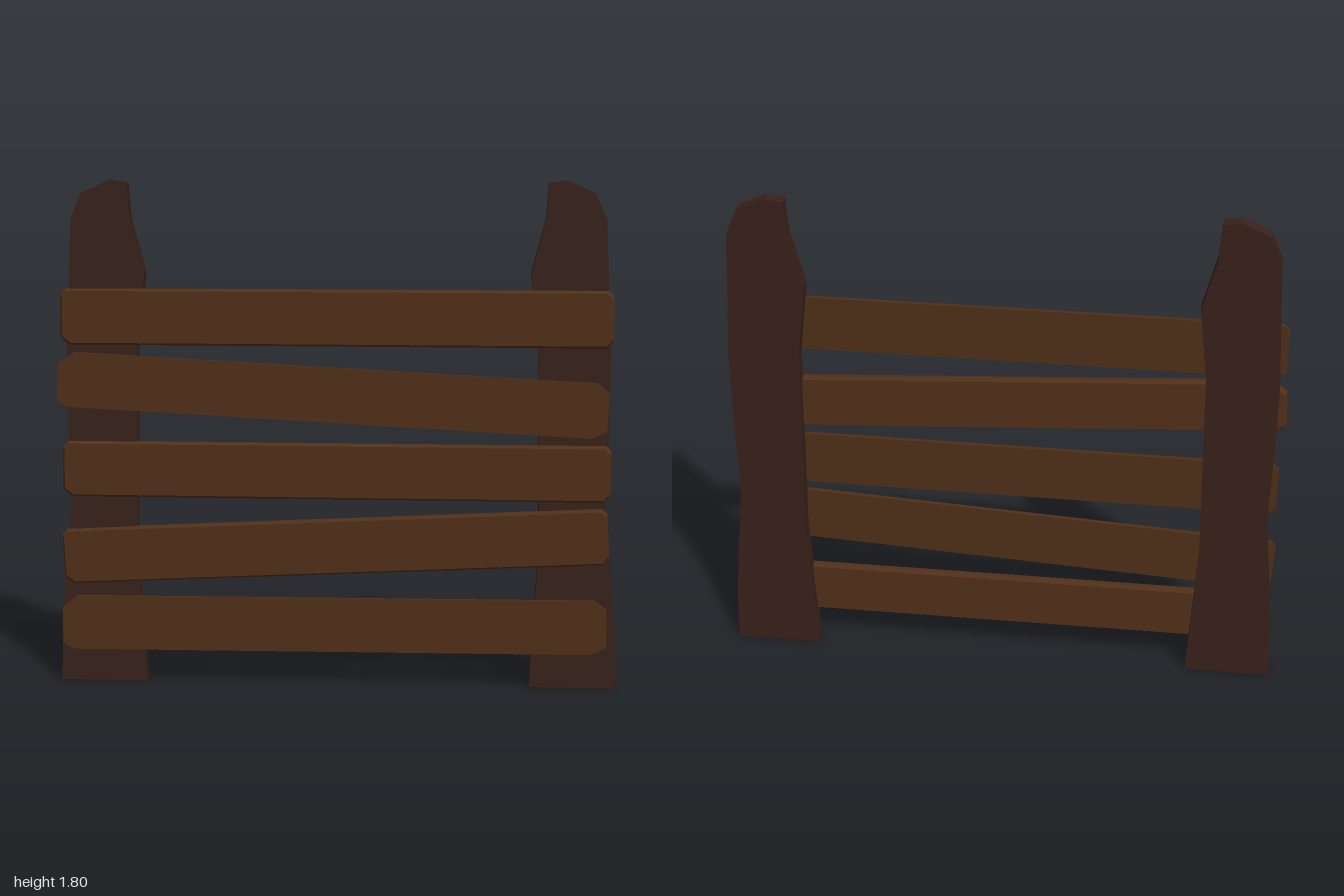
import * as THREE from 'three';

const POST_COLOR = 0x38211a;
const PLANK_COLOR = 0x4f2f18;

// Outline of one post (right-hand side, counter-clockwise)
const POST = [
  [0.69, 0], [1, 0], [0.995, 0.2], [0.975, 0.43], [0.952, 0.66], [0.96, 0.9], [0.963, 1.2],
  [0.95, 1.45], [0.94, 1.67], [0.9, 1.76], [0.8, 1.805], [0.74, 1.795], [0.73, 1.67],
  [0.68, 1.48], [0.71, 1.22], [0.715, 0.85], [0.72, 0.5],
];

// Plank outlines about their own centres: tight corners and wide corners
const TIGHT = [
  [-0.95, -0.1], [0.955, -0.1], [0.973, -0.075], [0.973, 0.08], [0.955, 0.1],
  [-0.96, 0.1], [-0.98, 0.08], [-0.98, -0.075],
];
const WIDE = [
  [-0.955, -0.098], [0.91, -0.098], [0.963, -0.07], [0.963, 0.065], [0.92, 0.098],
  [-0.935, 0.098], [-0.99, 0.055], [-0.99, -0.075],
];

// Flat-faced slab centred on z = 0; the front or back rim is drawn in by `bevel`
function slab(points, depth, bevel = 0, bevelSide = 1) {
  const shape = new THREE.Shape(points.map(([x, y]) => new THREE.Vector2(x, y)));
  const geo = new THREE.ExtrudeGeometry(shape, { depth, steps: 2, bevelEnabled: false });
  geo.translate(0, 0, -depth / 2);
  const p = geo.attributes.position;
  for (let i = 0; bevel && i < p.count; i++) {
    if (p.getZ(i) * bevelSide > depth * 0.4) {
      p.setX(i, p.getX(i) - Math.sign(p.getX(i)) * bevel);
      p.setY(i, p.getY(i) * (1 - bevel / 0.1));
    }
  }
  geo.computeVertexNormals();
  return geo;
}

export function createModel() {
  const group = new THREE.Group();
  const postMat = new THREE.MeshStandardMaterial({ color: POST_COLOR, flatShading: true });
  const plankMat = new THREE.MeshStandardMaterial({ color: PLANK_COLOR, flatShading: true });

  // Two mirrored posts, set at slightly different depths
  for (const [name, side, z] of [['leftPost', 1, -0.012], ['rightPost', -1, -0.018]]) {
    const outline = POST.map(([x, y]) => [x * side, y]);
    const post = new THREE.Mesh(slab(outline, 0.052), postMat);
    post.name = name;
    post.position.z = z;
    group.add(post);
  }

  // Crooked planks from bottom to top: outline, x, y, z, tilt, yaw, bevelled side
  const planks = [
    [WIDE, 0, 0.22, 0.014, 0.003, 0, -1],
    [TIGHT, -0.008, 0.505, 0.018, 0.05, -0.012, 1],
    [TIGHT, -0.003, 0.777, 0.018, 0, -0.012, 1],
    [WIDE, -0.005, 1.05, 0.014, -0.053, 0, -1],
    [TIGHT, -0.003, 1.323, 0.018, 0, -0.012, 1],
  ];
  planks.forEach(([outline, x, y, z, tilt, yaw, bevelSide], i) => {
    const plank = new THREE.Mesh(slab(outline, 0.03, 0.008, bevelSide), plankMat);
    plank.name = `plank${i + 1}`;
    plank.position.set(x, y, z);
    plank.rotation.set(0, yaw, tilt);
    group.add(plank);
  });

  return group;
}
